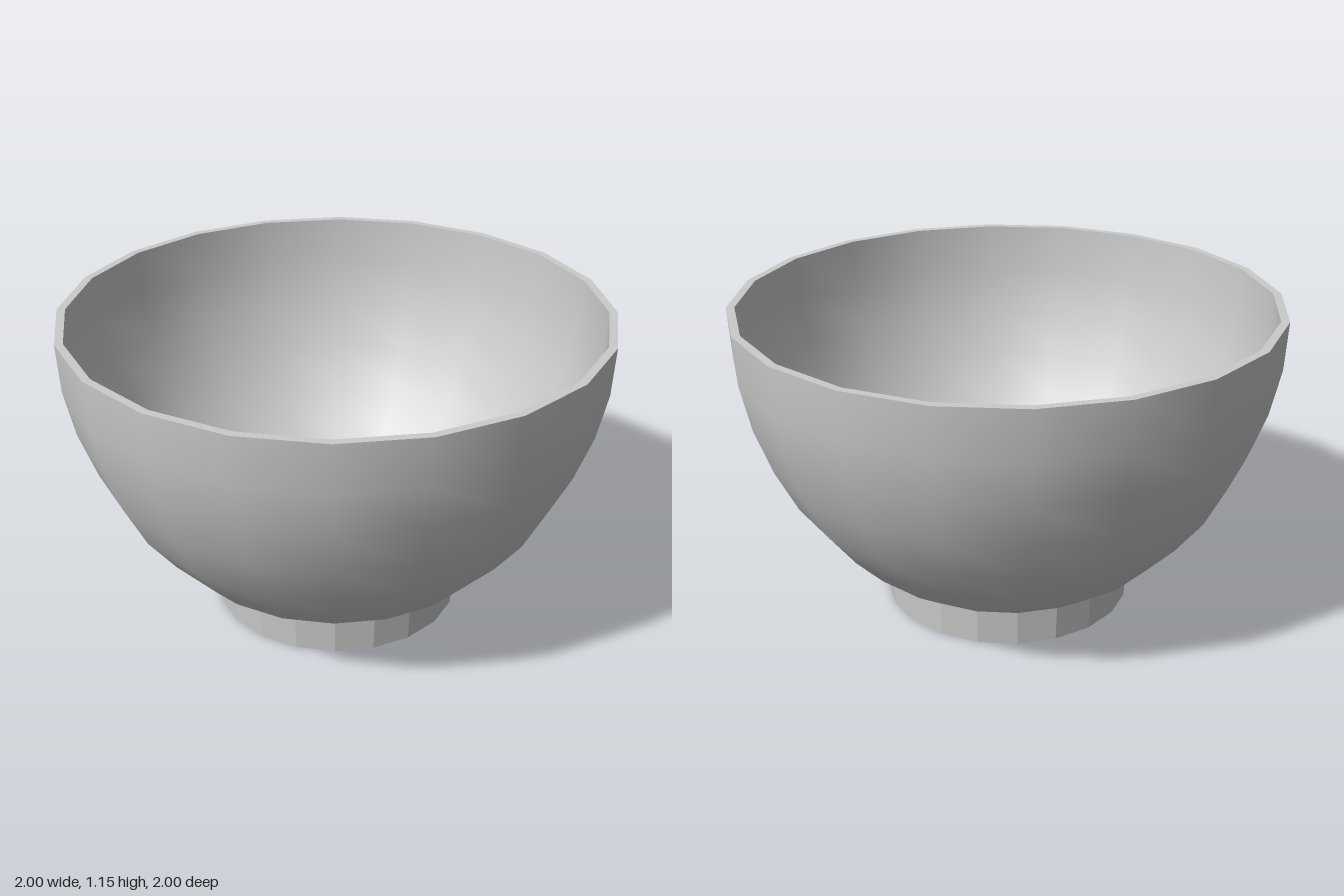
import * as THREE from 'three';

const SIDES = 20;
const BASE_Y = 0.134;   // where the bowl meets its foot
const RIM_Y = 1.155;
const WALL = 0.03;

// Spin a profile of [radius, height] pairs around y
function spin(name, profile, flatShading) {
  const points = profile.map(([r, y]) => new THREE.Vector2(r, y));
  const material = new THREE.MeshStandardMaterial({ color: 0xcccccc, flatShading });
  const mesh = new THREE.Mesh(new THREE.LatheGeometry(points, SIDES), material);
  mesh.name = name;
  return mesh;
}

export function createModel() {
  const bowl = new THREE.Group();
  bowl.name = 'bowl';

  // Rounded outer wall, from foot to rim
  const outer = [
    [0.468, BASE_Y], [0.595, 0.22], [0.703, 0.332], [0.808, 0.468],
    [0.89, 0.63], [0.953, 0.803], [0.99, 0.975], [1, RIM_Y],
  ];

  // Inner wall runs back down, inset by the wall thickness
  const inner = outer.map(([r, y], i) => {
    const lift = WALL * (1 - i / (outer.length - 1));
    return [r - WALL, y + lift];
  }).reverse();
  const [floorR, floorY] = inner[inner.length - 1];

  bowl.add(spin('outerWall', outer, false));
  bowl.add(spin('innerWall', inner, false));
  bowl.add(spin('rim', [[1, RIM_Y], [1 - WALL, RIM_Y]], true));
  bowl.add(spin('floor', [[floorR, floorY], [0, floorY]], true));

  // Faceted foot ring with a recessed underside
  bowl.add(spin('foot', [
    [0, BASE_Y], [0.338, BASE_Y], [0.338, 0], [0.46, 0], [0.468, BASE_Y],
  ], true));

  return bowl;
}
